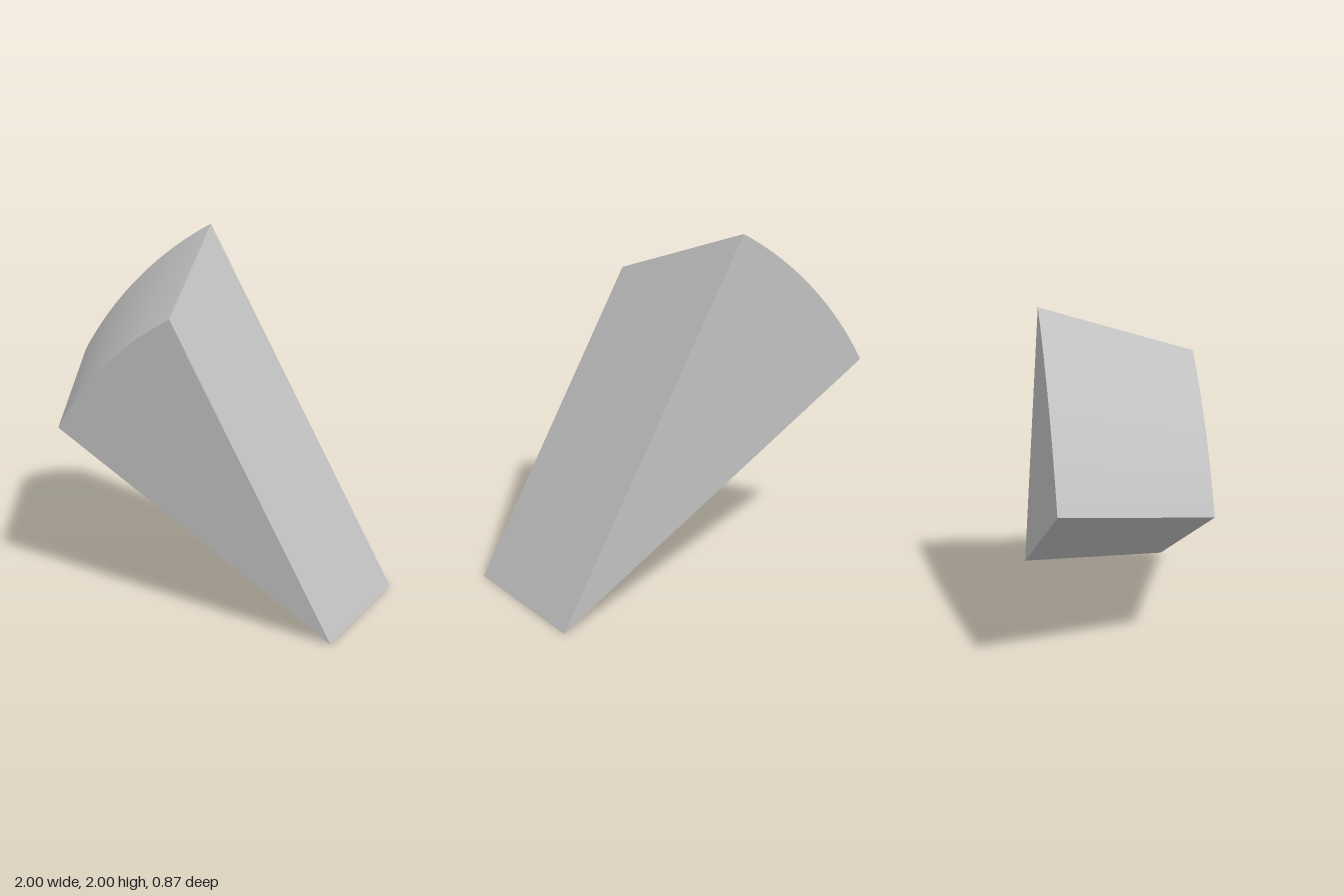
import * as THREE from 'three';

const BACK_R = 2.309, FRONT_R = 1.92, HALF = 0.435;
const START = THREE.MathUtils.degToRad(120);
const SWEEP = THREE.MathUtils.degToRad(30);
const SEGMENTS = 32;

export function createModel() {
  const grey = new THREE.MeshStandardMaterial({ color: 0xc0c0c0 });
  grey.name = 'light grey';

  // The wedge is built around the z axis, then its sharp edge moves to x = 1
  const wedge = new THREE.Group();
  wedge.name = 'wedge';
  wedge.position.x = 1;
  const add = (name, geometry) => {
    const mesh = new THREE.Mesh(geometry, grey);
    mesh.name = name;
    wedge.add(mesh);
  };

  // Smooth tapered outer surface
  add('taperedRim', new THREE.CylinderGeometry(
    FRONT_R, BACK_R, HALF * 2, SEGMENTS, 1, true, START + Math.PI / 2, SWEEP
  ).rotateX(Math.PI / 2));

  // Front and back sectors
  add('frontSector', new THREE.CircleGeometry(FRONT_R, SEGMENTS, START, SWEEP)
    .translate(0, 0, HALF));
  add('backSector', new THREE.CircleGeometry(BACK_R, SEGMENTS, Math.PI - START - SWEEP, SWEEP)
    .rotateY(Math.PI).translate(0, 0, -HALF));

  // Flat cut sides; sign turns each one outward
  const addSide = (name, angle, sign) => {
    const outline = [[0, -HALF], [BACK_R, -HALF], [FRONT_R, HALF], [0, HALF]];
    const shape = new THREE.Shape(outline.map(([r, z]) => new THREE.Vector2(r, z * sign)));
    add(name, new THREE.ShapeGeometry(shape).rotateX(sign * Math.PI / 2).rotateZ(angle));
  };
  addSide('upperSide', START, 1);
  addSide('lowerSide', START + SWEEP, -1);

  const model = new THREE.Group();
  model.name = 'taperedWedge';
  model.add(wedge);
  return model;
}
